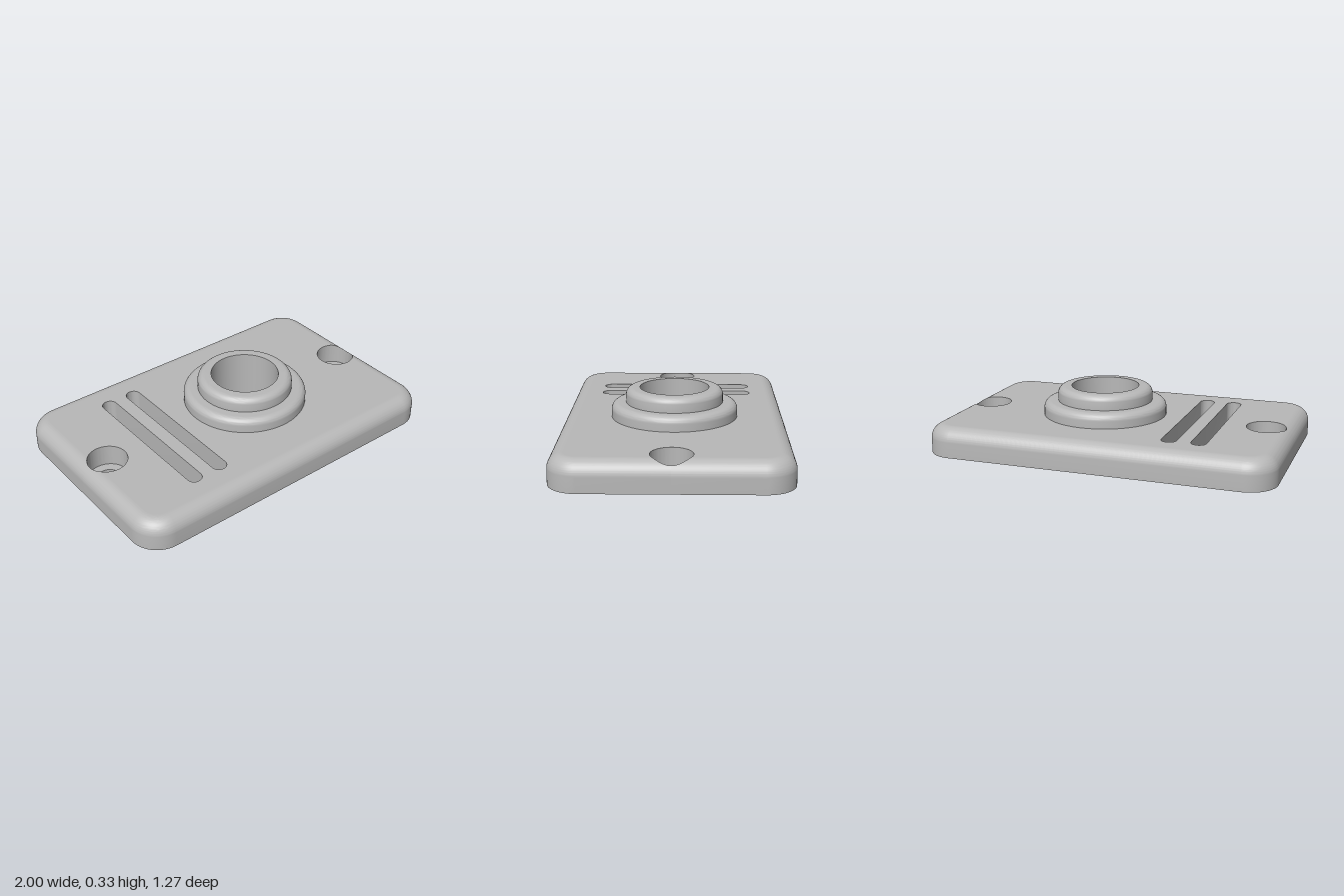
import * as THREE from 'three';
import { toCreasedNormals } from 'three/addons/utils/BufferGeometryUtils.js';

const H = 0.167, HALF_X = 1, HALF_Z = 0.637, CORNER = 0.165, FILLET = 0.083;
const FLAT_X = HALF_X - FILLET;
const BOSS = { x: 0.125, outer: 0.36, inner: 0.277, bore: 0.197, step: 0.25, top: 0.333, fillet: 0.041 };
const SCREWS = { right: { x: -0.837 }, left: { x: 0.864 } };
const HEAD_R = 0.112, HOLE_R = 0.061, FLOOR_Y = 0.042;
const SLOTS = [-0.556, -0.39], SLOT_R = 0.043, SLOT_END = 0.458;

// Plan points (x, y) where y is -z, along an arc
function arc(cx, cy, r, a0, a1, n) {
  return Array.from({ length: n + 1 }, (_, i) => {
    const a = a0 + (a1 - a0) * i / n;
    return new THREE.Vector2(cx + r * Math.cos(a), cy + r * Math.sin(a));
  });
}
const circle = (cx, r, n = 64) => arc(cx, 0, r, 0, Math.PI * 2, n).slice(0, -1);
const slotOutline = x => [
  ...arc(x, SLOT_END - SLOT_R, SLOT_R, 0, Math.PI, 16),
  ...arc(x, -SLOT_END + SLOT_R, SLOT_R, Math.PI, Math.PI * 2, 16),
];

// Half width of a screw recess where it crosses the line at x
const cut = (x, c) => Math.sqrt(Math.max(0, HEAD_R ** 2 - (x - c) ** 2));

// Height of the plate surface at x along its middle
function surfaceY(x) {
  const d = Math.max(0, Math.abs(x) - FLAT_X);
  return H - FILLET + Math.sqrt(FILLET ** 2 - d ** 2);
}

// Two halves of the rounded outline, d outside the flat top; open at the recesses
function halves(d, withCuts) {
  const X = FLAT_X + d, r = CORNER - FILLET + d;
  const cx = HALF_X - CORNER, cz = HALF_Z - CORNER, q = Math.PI / 2;
  const hl = withCuts ? cut(X, SCREWS.left.x) : 0;
  const hr = withCuts ? cut(-X, SCREWS.right.x) : 0;
  const P = (x, y) => new THREE.Vector2(x, y);
  return [
    [P(X, hl), ...arc(cx, cz, r, 0, q, 16), ...arc(-cx, cz, r, q, 2 * q, 16), P(-X, hr)],
    [P(-X, -hr), ...arc(-cx, -cz, r, 2 * q, 3 * q, 16), ...arc(cx, -cz, r, 3 * q, 4 * q, 16), P(X, -hl)],
  ];
}

const lift = (pts, y) => pts.map(p => new THREE.Vector3(p.x, typeof y === 'function' ? y(p.x) : y, -p.y));

// Skin a stack of rings
function loft(rings, closed) {
  const n = rings[0].length, pos = [], idx = [];
  rings.forEach(ring => ring.forEach(p => pos.push(p.x, p.y, p.z)));
  for (let j = 0; j < rings.length - 1; j++) {
    for (let i = 0; i < (closed ? n : n - 1); i++) {
      const a = j * n + i, b = j * n + (i + 1) % n;
      idx.push(a, b, b + n, a, b + n, a + n);
    }
  }
  const g = new THREE.BufferGeometry();
  g.setAttribute('position', new THREE.Float32BufferAttribute(pos, 3));
  g.setIndex(idx);
  return toCreasedNormals(g, 0.6);
}

// Inward-facing wall of a hole
const holeWall = (pts, y0, y1) => {
  const p = [...pts].reverse();
  return loft([lift(p, y0), lift(p, y1)], true);
};

// Flat face with holes, facing up or down
function face(outline, holes, y, up) {
  const s = new THREE.Shape(outline);
  s.holes = holes.map(h => new THREE.Path(h));
  return new THREE.ShapeGeometry(s).rotateX(up ? -Math.PI / 2 : Math.PI / 2).translate(0, y, 0);
}

export function createModel() {
  const group = new THREE.Group();
  const grey = new THREE.MeshStandardMaterial({ color: 0xb8b8b8 });
  grey.name = 'grey';
  const add = (name, geometry) => {
    const m = new THREE.Mesh(geometry, grey);
    m.name = name;
    group.add(m);
    return m;
  };

  // Plate sides and rounded top edge, with rings added where the recesses end
  const angles = Array.from({ length: 25 }, (_, i) => i / 24 * Math.PI / 2);
  for (const s of Object.values(SCREWS)) {
    const tip = Math.abs(s.x) + HEAD_R - FLAT_X;
    for (const e of [0, 0.0003, 0.0015]) angles.push(Math.asin((tip - e) / FILLET));
  }
  angles.sort((a, b) => b - a);
  ['back', 'front'].forEach((side, k) => {
    const rings = [lift(halves(FILLET, true)[k], 0)];
    for (const a of angles) {
      rings.push(lift(halves(FILLET * Math.sin(a), true)[k], H - FILLET + FILLET * Math.cos(a)));
    }
    add(side + 'PlateEdge', loft(rings, false));
  });

  // Plate top, notched by the screw recesses
  const [back, front] = halves(0, true);
  const bl = Math.atan2(cut(FLAT_X, SCREWS.left.x), FLAT_X - SCREWS.left.x);
  const br = Math.atan2(cut(-FLAT_X, SCREWS.right.x), -FLAT_X - SCREWS.right.x);
  const topOutline = [
    ...back, ...arc(SCREWS.right.x, 0, HEAD_R, br, -br, 40).slice(1, -1),
    ...front, ...arc(SCREWS.left.x, 0, HEAD_R, -bl, bl - Math.PI * 2, 40).slice(1, -1),
  ];
  const slots = SLOTS.map(slotOutline);
  add('plateTop', face(topOutline, [circle(BOSS.x, BOSS.outer - 0.02), ...slots], H, true));

  // Plate underside
  const screwHoles = Object.values(SCREWS).map(s => circle(s.x, HOLE_R));
  add('plateUnderside', face(halves(FILLET, false).flat(),
    [circle(BOSS.x, BOSS.bore), ...slots, ...screwHoles], 0, false));

  // Slots
  slots.forEach((s, i) => add('slotWall' + (i + 1), holeWall(s, 0, H)));

  // Counterbored screw holes
  for (const [side, s] of Object.entries(SCREWS)) {
    const head = circle(s.x, HEAD_R, 96), hole = circle(s.x, HOLE_R);
    add(side + 'ScrewRecess', holeWall(head, FLOOR_Y, surfaceY));
    add(side + 'ScrewSeat', face(head, [hole], FLOOR_Y, true));
    add(side + 'ScrewHole', holeWall(hole, 0, FLOOR_Y));
  }

  // Stepped boss with rounded shoulders and a through bore
  const f = BOSS.fillet;
  const shoulder = (r, y) => arc(r - f, y - f, f, 0, Math.PI / 2, 10);
  const profile = [
    new THREE.Vector2(BOSS.outer, H - 0.005), ...shoulder(BOSS.outer, BOSS.step),
    new THREE.Vector2(BOSS.inner, BOSS.step), ...shoulder(BOSS.inner, BOSS.top),
    new THREE.Vector2(BOSS.bore, BOSS.top), new THREE.Vector2(BOSS.bore, 0),
  ];
  add('boss', toCreasedNormals(new THREE.LatheGeometry(profile, 80), 0.6)).position.x = BOSS.x;

  return group;
}
